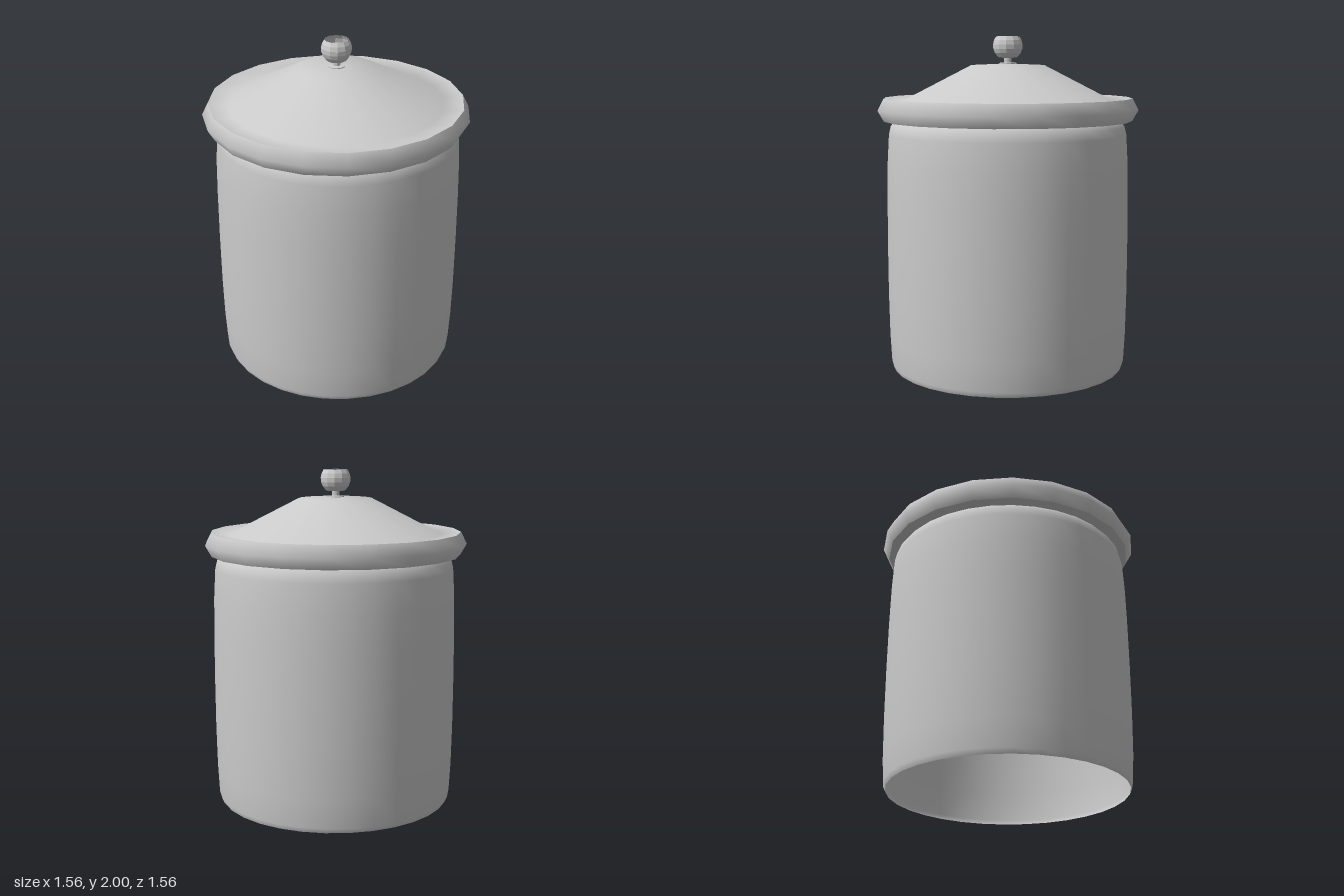
import * as THREE from 'three';

const material = (flatShading = false) =>
  new THREE.MeshStandardMaterial({ color: 0xcccccc, side: THREE.DoubleSide, flatShading });

// Turned part from [radius, height] pairs, listed bottom to top along the outside
function turned(name, profile, segments, flat) {
  const points = profile.map(([r, y]) => new THREE.Vector2(r, y));
  const mesh = new THREE.Mesh(new THREE.LatheGeometry(points, segments), material(flat));
  mesh.name = name;
  return mesh;
}

export function createModel() {
  const group = new THREE.Group();
  group.name = 'lidded jar';

  // Thin-walled body, open underneath, with a soft shoulder below the lid
  const body = turned('body', [
    [0.7, 0], [0.713, 0.03], [0.722, 0.2], [0.727, 0.45], [0.728, 0.75],
    [0.726, 1.05], [0.722, 1.25], [0.712, 1.42], [0.7, 1.47], [0.675, 1.5], [0.65, 1.52],
  ], 32);
  body.position.x = 0.008;
  group.add(body);

  // Lid: underside lip, bulging rim and a shallow cone that rises from a slight valley
  const lid = new THREE.Group();
  lid.name = 'lid';
  lid.add(
    turned('lidUnderside', [[0.66, 1.5], [0.745, 1.5]], 20),
    turned('lidRim', [[0.745, 1.5], [0.782, 1.565], [0.746, 1.635]], 20),
    turned('lidTop', [[0.746, 1.635], [0.63, 1.62], [0.22, 1.83], [0.04, 1.838], [0, 1.838]], 20),
  );
  group.add(lid);

  // Hollow knob, cut open at the top, on a short stem
  const knob = new THREE.Group();
  knob.name = 'knob';
  const ball = [[0.024, 1.872], [0.055, 1.875]];
  for (let i = 0; i <= 5; i++) {
    const a = -0.8 + (i / 5) * 1.46;
    ball.push([0.089 * Math.cos(a), 1.945 + 0.089 * Math.sin(a)]);
  }
  knob.add(
    turned('knobBall', ball, 12, true),
    turned('knobStem', [[0.05, 1.836], [0.05, 1.843], [0.022, 1.846], [0.022, 1.876], [0, 1.876]], 12, true),
  );
  group.add(knob);

  return group;
}
